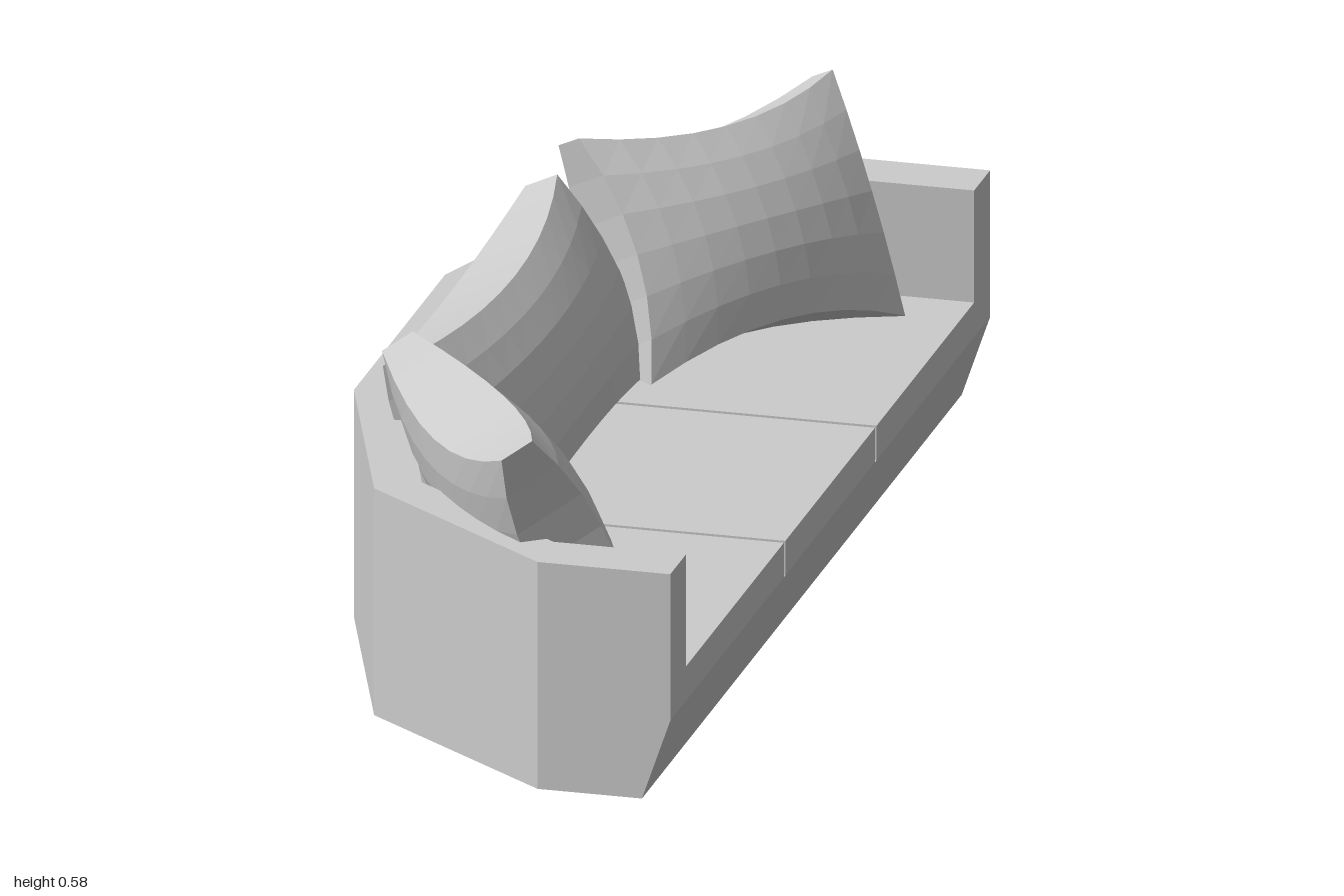
import * as THREE from 'three';

const material = new THREE.MeshStandardMaterial({ color: 0xcccccc, flatShading: true });

// Half outlines as [x, z] on the +z side
const OUTER = [[0.365, 1], [0.14, 1], [-0.21, 0.73], [-0.365, 0.285]];
const INNER = [[0.365, 0.9], [0.14, 0.9], [-0.142, 0.682], [-0.285, 0.27]];
const mirror = (pts) => pts.map(([x, z]) => [x, -z]).reverse();

// Vertical prism over a floor plan
function slab(name, plan, y0, y1) {
  const shape = new THREE.Shape(plan.map(([x, z]) => new THREE.Vector2(x, -z)));
  const geometry = new THREE.ExtrudeGeometry(shape, { depth: y1 - y0, bevelEnabled: false });
  geometry.rotateX(-Math.PI / 2).translate(0, y0, 0);
  const mesh = new THREE.Mesh(geometry, material);
  mesh.name = name;
  return mesh;
}

// Pincushion pillow: concave edges, pointed corners, swollen middle
function pillow(name, width, height, dip, segments) {
  const geometry = new THREE.BoxGeometry(2, 2, 2, segments, 6, 1);
  const p = geometry.attributes.position;
  for (let i = 0; i < p.count; i++) {
    const u = p.getX(i), v = p.getY(i), side = p.getZ(i);
    const cu = 1 - u * u, cv = 1 - v * v;
    const thickness = 0.06 + 0.075 * cu + 0.075 * cv;
    p.setXYZ(i, u * (width / 2 - 0.02 * cv), v * (height / 2 - dip * cu), side * thickness / 2);
  }
  geometry.computeVertexNormals();
  const mesh = new THREE.Mesh(geometry, material);
  mesh.name = name;
  return mesh;
}

export function createModel() {
  const sofa = new THREE.Group();
  sofa.name = 'curvedSofa';

  // Base, with its front undercut towards the floor
  const base = slab('base', [...OUTER, ...mirror(OUTER)], 0, 0.14);
  const p = base.geometry.attributes.position;
  for (let i = 0; i < p.count; i++) {
    if (p.getX(i) > 0.3 && p.getY(i) < 0.01) p.setX(i, 0.317);
  }
  base.geometry.computeVertexNormals();
  sofa.add(base);

  // Wrap-around back and arms
  const ring = [...OUTER, ...mirror(OUTER), ...INNER.slice().reverse().map(([x, z]) => [x, z])];
  ring.splice(OUTER.length * 2, 0, ...mirror(INNER).reverse());
  sofa.add(slab('backAndArms', ring, 0.14, 0.395));

  // Three seat cushions with narrow gaps
  const gap = 0.005, seam = 0.285;
  const edge = seam - gap;
  sofa.add(slab('middleSeat', [[0.365, edge], [-0.282, edge], [-0.282, -edge], [0.365, -edge]], 0.14, 0.2));
  const endSeat = [...INNER.slice(0, 3), [-0.278, seam + gap], [0.365, seam + gap]];
  sofa.add(slab('endSeat', endSeat, 0.14, 0.2));
  sofa.add(slab('endSeat', mirror(endSeat), 0.14, 0.2));

  // Pillows leaning on the back: position, yaw and tilt in degrees
  const place = (mesh, x, y, z, yaw, tilt) => {
    mesh.position.set(x, y, z);
    mesh.rotation.set(THREE.MathUtils.degToRad(-tilt), THREE.MathUtils.degToRad(yaw), 0, 'YXZ');
    sofa.add(mesh);
  };
  place(pillow('backPillow', 0.89, 0.365, 0.035, 10), -0.175, 0.34, -0.025, 90, 25);
  place(pillow('cornerPillow', 0.56, 0.42, 0.045, 8), 0.003, 0.375, 0.656, 125.6, 27);
  place(pillow('cornerPillow', 0.53, 0.42, 0.045, 8), 0.018, 0.375, -0.665, 53.6, 27);

  return sofa;
}
